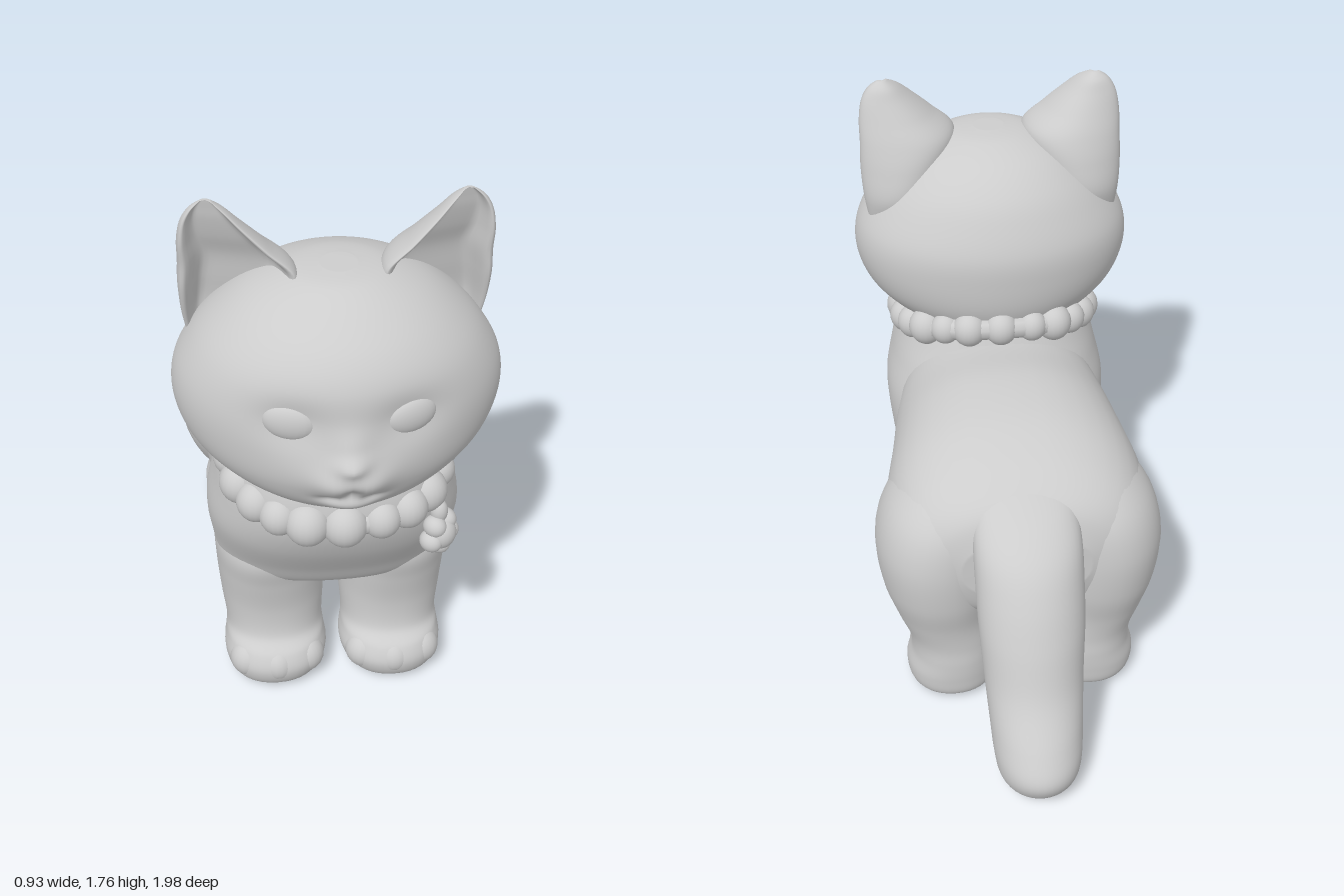
import * as THREE from 'three';

const grey = new THREE.MeshStandardMaterial({ color: 0xcccccc });
grey.name = 'plain grey';

// Smooth interpolation of rows of numbers
function sample(rows, u) {
  const f = u * (rows.length - 1), i = Math.min(Math.floor(f), rows.length - 2), t = f - i;
  const at = k => rows[Math.max(0, Math.min(rows.length - 1, k))];
  return rows[i].map((_, k) => {
    const a = at(i - 1)[k], b = at(i)[k], c = at(i + 1)[k], d = at(i + 2)[k];
    return b + 0.5 * t * (c - a + t * (2 * a - 5 * b + 4 * c - d + t * (3 * (b - c) + d - a)));
  });
}

// Skin over cross-sections. Row: [position, centre x, half width, low, high].
// axis 'y': rows rise and low/high are z; axis 'z': rows run backwards and low/high are y.
function loft(rows, { axis = 'y', power = 2, shape = null, n = 40, steps = 6 } = {}) {
  const m = rows.length * steps, pos = [], index = [];
  const round = v => Math.sign(v) * Math.abs(v) ** (2 / power);
  for (let i = -1; i <= m + 1; i++) {
    const [t, cx, hx, lo, hi] = sample(rows, Math.max(0, Math.min(1, i / m)));
    const k = i < 0 || i > m ? 0 : 1;
    for (let j = 0; j < n; j++) {
      const a = (j / n) * Math.PI * 2, c = Math.cos(a), s = Math.sin(a);
      const dx = k * Math.max(0, hx) * round(c);
      const v = shape && k ? shape(c, s, lo, hi, dx) : (lo + hi) / 2 + k * ((hi - lo) / 2) * round(s);
      if (axis === 'y') pos.push(cx + dx, t, v);
      else pos.push(cx + dx, v, t);
    }
  }
  for (let i = 0; i < m + 2; i++) for (let j = 0; j < n; j++) {
    const a = i * n + j, b = i * n + (j + 1) % n;
    index.push(a, a + n, b, b, a + n, b + n);
  }
  const g = new THREE.BufferGeometry();
  g.setAttribute('position', new THREE.Float32BufferAttribute(pos, 3));
  g.setIndex(index);
  g.computeVertexNormals();
  return g;
}

// Push the front of a geometry along z with soft bumps: [x, y, spread x, spread y, amount]
function sculptFront(g, bumps, zMin) {
  const p = g.attributes.position;
  for (let i = 0; i < p.count; i++) {
    if (p.getZ(i) < zMin) continue;
    let z = p.getZ(i);
    for (const [x, y, sx, sy, amount] of bumps) {
      z += amount * Math.exp(-(((p.getX(i) - x) / sx) ** 2) - ((p.getY(i) - y) / sy) ** 2);
    }
    p.setZ(i, z);
  }
  g.computeVertexNormals();
  return g;
}

export function createModel() {
  const model = new THREE.Group();
  const add = (name, geometry, parent = model) => {
    const mesh = new THREE.Mesh(geometry, grey);
    mesh.name = name;
    parent.add(mesh);
    return mesh;
  };
  const ball = (name, p, r, parent) => {
    const mesh = add(name, new THREE.SphereGeometry(1, 22, 16), parent);
    mesh.position.set(...p);
    mesh.scale.set(...r);
    return mesh;
  };

  // Trunk, chest and neck
  add('trunk', loft([
    [0.42, 0, 0.32, 0.37, 0.94], [0.2, 0, 0.365, 0.32, 0.955], [0, 0, 0.39, 0.295, 0.98],
    [-0.2, 0, 0.42, 0.28, 0.965], [-0.35, 0, 0.415, 0.31, 0.92], [-0.45, 0, 0.375, 0.37, 0.865],
    [-0.51, 0, 0.3, 0.42, 0.81], [-0.54, 0, 0.2, 0.5, 0.73],
  ], { axis: 'z', power: 2.3 }));
  add('chest', loft([
    [0.34, 0, 0.2, 0.25, 0.42], [0.38, 0, 0.31, 0.2, 0.5], [0.45, 0, 0.355, 0.17, 0.62],
    [0.56, 0, 0.375, 0.14, 0.69], [0.7, 0, 0.385, 0.14, 0.775], [0.82, 0, 0.36, 0.16, 0.82],
    [0.92, 0, 0.335, 0.2, 0.82], [1.05, 0, 0.3, 0.25, 0.78],
  ], { power: 2.35, n: 64 }));

  // Tail, its root sinking into the rump
  add('tail', loft([
    [0.015, 0, 0.04, -0.89, -0.81], [0.035, 0, 0.09, -0.945, -0.76], [0.08, 0, 0.125, -0.985, -0.71],
    [0.14, 0, 0.138, -0.998, -0.65], [0.22, 0, 0.145, -0.955, -0.6], [0.35, 0, 0.155, -0.865, -0.54],
    [0.5, 0, 0.165, -0.805, -0.49], [0.62, 0, 0.168, -0.75, -0.43], [0.72, 0, 0.168, -0.685, -0.38],
    [0.79, 0, 0.16, -0.6, -0.32], [0.84, 0, 0.14, -0.5, -0.27], [0.88, 0, 0.08, -0.39, -0.22],
  ]));

  // Head with sculpted muzzle, nose, mouth, chin and eye sockets
  const head = new THREE.Group();
  head.name = 'head';
  model.add(head);
  const skull = loft([
    [0.91, 0, 0.15, 0.36, 0.72], [0.94, 0, 0.25, 0.29, 0.83], [1, 0, 0.345, 0.235, 0.895],
    [1.08, 0, 0.425, 0.2, 0.922], [1.18, 0, 0.463, 0.188, 0.928], [1.28, 0, 0.457, 0.192, 0.928],
    [1.38, 0, 0.405, 0.23, 0.915], [1.46, 0, 0.335, 0.28, 0.87], [1.53, 0, 0.245, 0.36, 0.79],
    [1.575, 0, 0.14, 0.46, 0.71], [1.588, 0, 0.05, 0.54, 0.64],
  ], { n: 160, steps: 12 });
  const mirrored = [[0.05, 1.115, 0.05, 0.042, 0.016], [0.055, 1.05, 0.035, 0.016, -0.014],
    [0.16, 1.28, 0.095, 0.07, -0.022]].flatMap(b => [b, [-b[0], ...b.slice(1)]]);
  add('skull and face', sculptFront(skull, [
    [0, 1.12, 0.14, 0.085, 0.038], [0, 1.225, 0.05, 0.05, 0.014], [0, 1.178, 0.042, 0.026, 0.026],
    [0, 1.075, 0.022, 0.03, -0.02], [0, 1.02, 0.07, 0.035, 0.022], ...mirrored,
  ], 0.6), head);

  for (const s of [1, -1]) {
    const side = s > 0 ? 'left' : 'right';

    // Eye sitting in its socket
    const eye = ball(side + ' eye', [s * 0.162, 1.28, 0.873], [0.075, 0.057, 0.03], head);
    eye.rotation.set(0, s * 0.29, s * 0.1);

    // Ear: back bulging towards the crown, shallow hollow turned outwards, rolled rim
    add(side + ' ear', loft([
      [1.3, s * 0.34, 0.07, 0.44, 0.52], [1.4, s * 0.315, 0.112, 0.4, 0.56],
      [1.5, s * 0.285, 0.148, 0.41, 0.595], [1.58, s * 0.272, 0.158, 0.435, 0.605],
      [1.65, s * 0.307, 0.122, 0.47, 0.605], [1.71, s * 0.334, 0.084, 0.5, 0.595],
      [1.75, s * 0.345, 0.05, 0.52, 0.582], [1.774, s * 0.348, 0.015, 0.545, 0.562],
    ], {
      n: 56,
      shape: (c, sn, lo, hi, dx) => {
        const d = hi - lo, edge = hi - d * 0.25 - 0.28 * s * dx;
        if (sn < 0) return edge + sn * d * 0.75 * (1 - 0.3 * s * c);
        const rim = Math.sin(Math.min(sn / 0.8, 1) * Math.PI) * d * 0.25;
        return edge + rim - d * 0.26 * THREE.MathUtils.smoothstep(sn, 0.5, 0.9);
      },
    }), head);

    // Front leg and paw, shoulder hidden under the chest
    add(side + ' front leg', loft([
      [0.015, s * 0.19, 0.1, 0.42, 0.6], [0.04, s * 0.19, 0.145, 0.365, 0.65],
      [0.1, s * 0.187, 0.165, 0.34, 0.67], [0.155, s * 0.187, 0.158, 0.325, 0.65],
      [0.2, s * 0.187, 0.155, 0.31, 0.605], [0.3, s * 0.19, 0.165, 0.27, 0.595],
      [0.42, s * 0.195, 0.17, 0.23, 0.612], [0.52, s * 0.2, 0.165, 0.2, 0.63],
      [0.62, s * 0.2, 0.13, 0.25, 0.61],
    ], { power: 2.2 }));

    // Hind leg with haunch and paw
    add(side + ' hind leg', loft([
      [0.01, s * 0.23, 0.09, -0.45, -0.27], [0.04, s * 0.23, 0.14, -0.49, -0.21],
      [0.1, s * 0.23, 0.152, -0.5, -0.195], [0.17, s * 0.225, 0.14, -0.502, -0.21],
      [0.24, s * 0.23, 0.145, -0.5, -0.18], [0.33, s * 0.25, 0.165, -0.51, -0.1],
      [0.45, s * 0.262, 0.19, -0.535, -0.04], [0.6, s * 0.262, 0.2, -0.54, -0.03],
      [0.73, s * 0.235, 0.185, -0.51, -0.06], [0.83, s * 0.19, 0.13, -0.43, -0.12],
      [0.88, s * 0.17, 0.04, -0.32, -0.2],
    ], { power: 2.15 }));

    // Soft toes
    for (const k of [-1, 0, 1]) {
      const back = 0.03 * Math.abs(k);
      ball(side + ' front toe', [s * 0.187 + k * 0.09, 0.105, 0.612 - back], [0.062, 0.066, 0.062]);
      ball(side + ' hind toe', [s * 0.23 + k * 0.083, 0.095, -0.252 - back], [0.058, 0.062, 0.058]);
    }
  }

  // Bead collar, higher at the nape and slightly square in plan
  const collar = new THREE.Group();
  collar.name = 'bead collar';
  model.add(collar);
  const soft = v => Math.sign(v) * Math.abs(v) ** 0.85;
  const around = a => new THREE.Vector3(
    0.31 * soft(Math.sin(a)), 0.935 - 0.085 * Math.cos(a), 0.51 + 0.295 * soft(Math.cos(a)));
  const count = 22;
  for (let i = 0; i < count; i++) {
    const a = (i / count) * Math.PI * 2;
    const r = 0.058 + 0.004 * Math.cos(a) + 0.005 * Math.cos(i * 2.4);
    ball('bead', around(a).toArray(), [r, r * 1.08, r], collar);
  }
  const loop = Array.from({ length: 24 }, (_, i) => around((i / 24) * Math.PI * 2));
  add('band', new THREE.TubeGeometry(new THREE.CatmullRomCurve3(loop, true), 72, 0.038, 10, true), collar);

  // Charm: small lumpy flower hanging from the collar
  const charm = new THREE.Group();
  charm.name = 'charm';
  charm.position.set(0.285, 0.745, 0.75);
  charm.rotation.y = 0.75;
  model.add(charm);
  ball('charm centre', [0, 0, 0.005], [0.048, 0.052, 0.045], charm);
  ball('charm hanger', [0, 0.075, -0.005], [0.026, 0.04, 0.026], charm);
  for (let i = 0; i < 5; i++) {
    const a = -Math.PI / 2 + (i / 5) * Math.PI * 2;
    ball('charm petal', [0.04 * Math.cos(a), 0.042 * Math.sin(a), 0], [0.032, 0.034, 0.036], charm);
  }
  return model;
}
